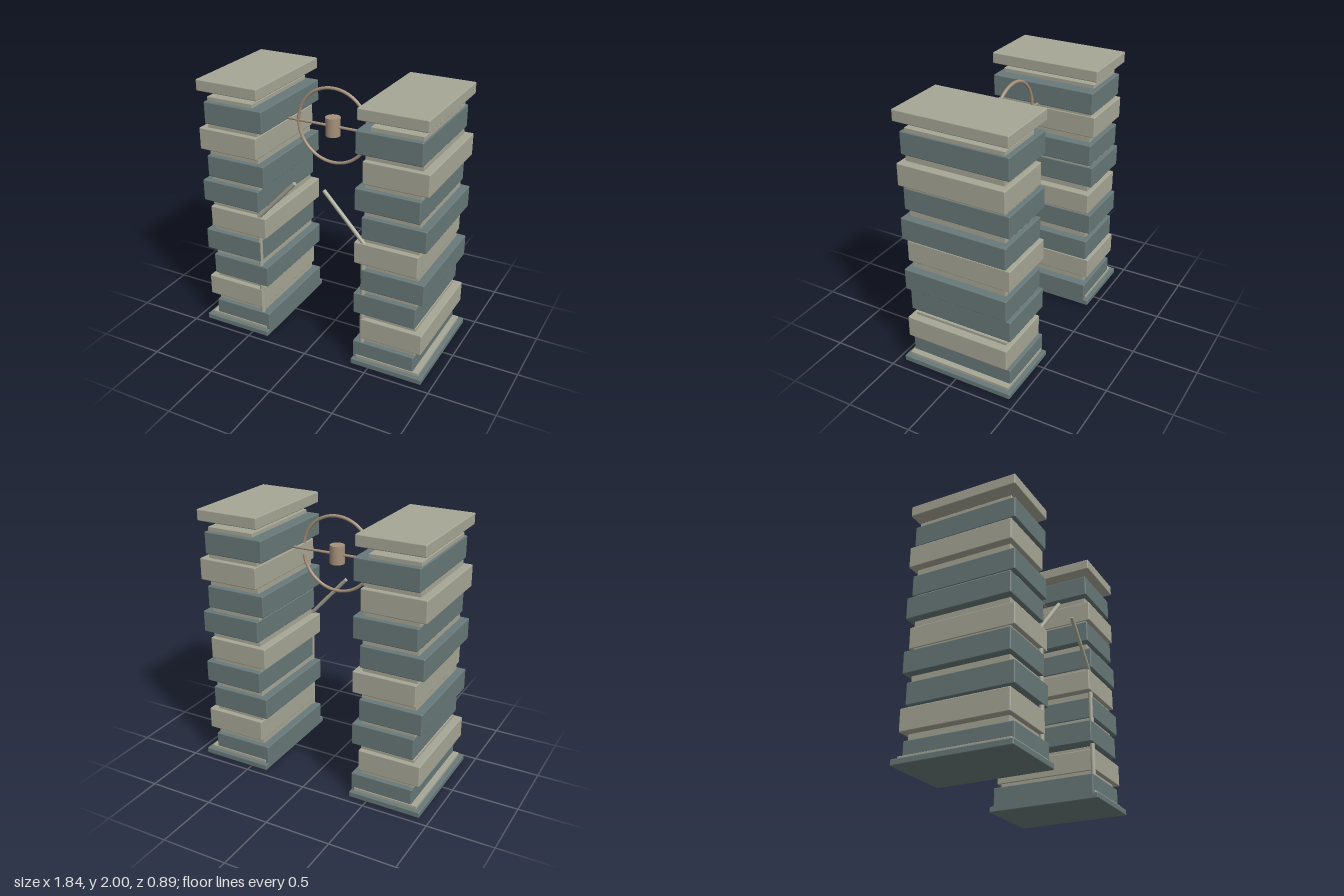
import * as THREE from 'three';
import { RoundedBoxGeometry } from 'three/addons/geometries/RoundedBoxGeometry.js';

const material = (name, color) => {
  const m = new THREE.MeshStandardMaterial({ color });
  m.name = name;
  return m;
};

export function createModel() {
  const slate = material('slate', 0x687878);
  const stone = material('stone', 0xa6a696);
  const bronze = material('bronze', 0xa5907a);
  const model = new THREE.Group();
  model.name = 'gate';

  const add = (parent, name, geometry, mat) => {
    const mesh = new THREE.Mesh(geometry, mat);
    mesh.name = name;
    parent.add(mesh);
    return mesh;
  };
  // Softened box given by its extents in x and y and its half depth
  const slab = (parent, name, x0, x1, y0, y1, halfZ, mat, side, r = 0.008) =>
    add(parent, name, new RoundedBoxGeometry(x1 - x0, y1 - y0, halfZ * 2, 2, r), mat)
      .position.set(side * (x0 + x1) / 2, (y0 + y1) / 2, 0);
  // Round bar between two points
  const rod = (parent, name, a, b, r, mat) => {
    const d = b.clone().sub(a);
    const mesh = add(parent, name, new THREE.CylinderGeometry(r, r, d.length(), 16), mat);
    mesh.position.copy(a).add(b).multiplyScalar(0.5);
    mesh.quaternion.setFromUnitVectors(new THREE.Vector3(0, 1, 0), d.normalize());
  };

  const paleCourses = [1, 4, 7];
  for (const side of [1, -1]) {
    const pillar = new THREE.Group();
    pillar.name = side > 0 ? 'leftPillar' : 'rightPillar';
    model.add(pillar);

    // Stepped foot
    slab(pillar, 'base', 0.36, 0.92, 0, 0.046, 0.445, slate, side);
    slab(pillar, 'basePlate', 0.385, 0.885, 0.04, 0.07, 0.415, stone, side, 0.004);

    // Staggered courses, each followed by a recessed spacer
    for (let i = 0; i < 9; i++) {
      const y = 0.022 + i * 0.206;
      const x = i % 2 ? 0.415 : 0.36;
      slab(pillar, 'block', x, x + 0.48, y, y + 0.166, 0.41,
        paleCourses.includes(i) ? stone : slate, side);
      const top = i === 8;
      slab(pillar, 'spacer', top ? 0.455 : 0.42, top ? 0.83 : 0.835,
        y + 0.16, y + (i === 1 ? 0.188 : top ? 0.195 : 0.21), 0.375, stone, side, 0.003);
    }

    // Floating cap
    slab(pillar, 'cap', 0.38, 0.88, 1.915, 2, 0.43, stone, side);

    // Inner corner post and slanted arm
    const at = (x, y) => new THREE.Vector3(side * x, y, 0.39);
    rod(pillar, 'post', at(0.425, 0.05), at(0.425, 1.0), 0.018, stone);
    rod(pillar, 'arm', at(0.43, 1.005), at(0.115, 1.345), 0.015, stone);
  }

  // Open ring with hub and axle between the pillars
  const wheel = new THREE.Group();
  wheel.name = 'wheel';
  wheel.position.set(0, 1.673, 0.035);
  model.add(wheel);
  const gap = THREE.MathUtils.degToRad(9);
  const R = 0.28, r = 0.012;
  add(wheel, 'ring', new THREE.TorusGeometry(R, r, 12, 96, Math.PI * 2 - gap * 2), bronze)
    .rotation.z = gap;
  for (const s of [1, -1]) {
    const end = add(wheel, 'ringEnd', new THREE.CircleGeometry(r, 12), bronze);
    end.position.set(R * Math.cos(gap), s * R * Math.sin(gap), 0);
    end.lookAt(end.position.clone().add(
      new THREE.Vector3(Math.sin(gap), -s * Math.cos(gap), 0)));
  }
  add(wheel, 'hub', new THREE.CylinderGeometry(0.055, 0.055, 0.138, 32), bronze);
  rod(wheel, 'axle', new THREE.Vector3(-0.42, 0, 0), new THREE.Vector3(0.42, 0, 0), 0.01, bronze);

  return model;
}
